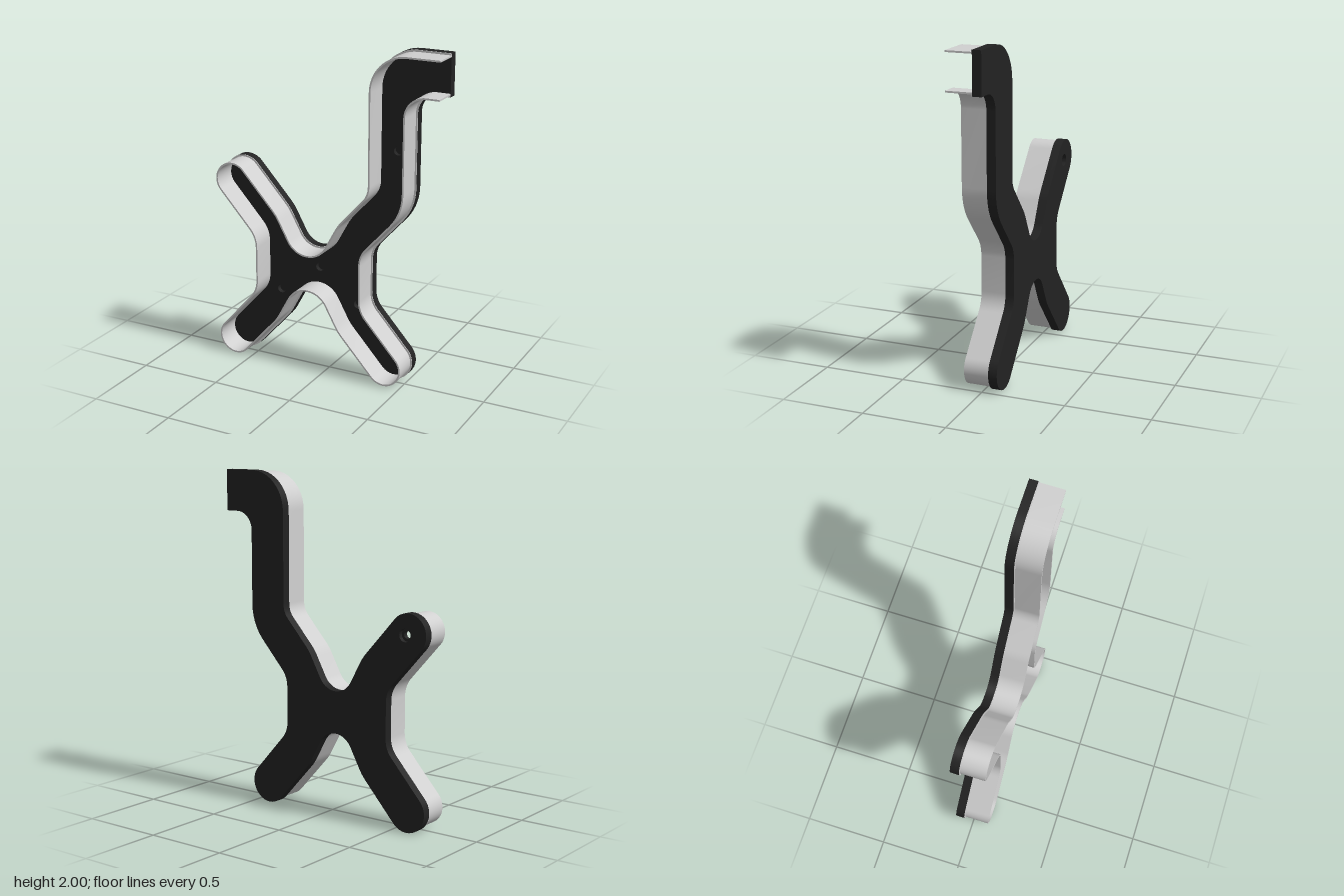
import * as THREE from 'three';
import { toCreasedNormals } from 'three/addons/utils/BufferGeometryUtils.js';

// Corner points of one arm, relative to the body centre: x, y, fillet radius
const ARM = [
  [0.0745, 0.125, 0.125], [0.1925, 0.341, 0.3], [0.4935, 0.674, 0.119],
  [0.6715, 0.514, 0.119], [0.3575, 0.165, 0.15],
];
const CX = -0.0975, CY = 0.625;

function arm(sx, sy) {
  const pts = ARM.map(([x, y, r]) => [CX + sx * x, CY + sy * y, r]);
  return sx * sy > 0 ? pts.reverse() : pts;
}

// Counter-clockwise outline, open at the cut end of the hooked arm
const CORNERS = [
  [0.717, 2, 0], [0.285, 2, 0.235], [0.285, 1.176, 0.12], [0.095, 0.966, 0.3], [-0.023, 0.75, 0.125],
  ...arm(-1, 1), ...arm(-1, -1), ...arm(1, -1),
  [0.26, 0.79, 0.15], [0.527, 1.085, 0.31], [0.527, 1.755, 0.11], [0.717, 1.755, 0],
];

// Outline moved inward by d, with rounded corners
function outline(d) {
  const p = CORNERS.map(([x, y]) => new THREE.Vector2(x, y));
  const dirs = p.slice(1).map((q, i) => q.clone().sub(p[i]).normalize());
  const left = (v) => new THREE.Vector2(-v.y, v.x);
  const last = p.length - 1;
  const out = [];
  p.forEach((q, i) => {
    if (i === 0 || i === last) {
      out.push(q.clone().addScaledVector(left(dirs[i ? i - 1 : 0]), d));
      return;
    }
    const a = dirs[i - 1], b = dirs[i];
    const turn = Math.atan2(a.cross(b), a.dot(b));
    const side = Math.sign(turn);
    const r = CORNERS[i][2] - side * d;
    const mitre = left(a).add(left(b)).multiplyScalar(d / (1 + a.dot(b)));
    const start = q.clone().add(mitre).addScaledVector(a, -r * Math.tan(Math.abs(turn) / 2));
    const centre = start.clone().addScaledVector(left(a), side * r);
    const n = Math.max(4, Math.ceil(Math.abs(turn) / 0.12));
    for (let k = 0; k <= n; k++) {
      out.push(start.clone().rotateAround(centre, (turn * k) / n));
    }
  });
  return out;
}

function extrude(name, shape, z0, z1, material) {
  const geo = new THREE.ExtrudeGeometry(shape, { depth: z1 - z0, bevelEnabled: false, curveSegments: 16 });
  geo.translate(0, 0, z0);
  const mesh = new THREE.Mesh(toCreasedNormals(geo, 0.5), material);
  mesh.name = name;
  return mesh;
}

// Plate outline with round holes given as x, y, radius
function plateShape(holes) {
  const shape = new THREE.Shape(outline(0));
  for (const [x, y, r] of holes) {
    shape.holes.push(new THREE.Path().absarc(x, y, r, 0, Math.PI * 2, true));
  }
  return shape;
}

// Strip that follows the outline between two insets
const stripShape = (d0, d1) => new THREE.Shape([...outline(d0), ...outline(d1).reverse()]);

export function createModel() {
  const group = new THREE.Group();
  group.name = 'channelBracket';
  const black = new THREE.MeshStandardMaterial({ color: 0x222222 });
  black.name = 'black';
  const grey = new THREE.MeshStandardMaterial({ color: 0xd0d0d0 });
  grey.name = 'lightGrey';

  // Back plate: blind holes in the front half, counterbored through hole in the back half
  const blind = [[0.41, 1.41], [-0.09, 0.62], [-0.355, 0.43], [0.165, 0.425]].map(([x, y]) => [x, y, 0.027]);
  group.add(extrude('plateFront', plateShape([[-0.58, 1.125, 0.022], ...blind]), -0.078, -0.05, black));
  group.add(extrude('plateBack', plateShape([[-0.58, 1.125, 0.038]]), -0.103, -0.078, black));

  // Thin flange on the plate rim and the standing side wall
  group.add(extrude('rimFlange', stripShape(0, 0.021), -0.05, -0.046, grey));
  group.add(extrude('sideWall', stripShape(0.011, 0.021), -0.046, 0.103, grey));
  return group;
}
